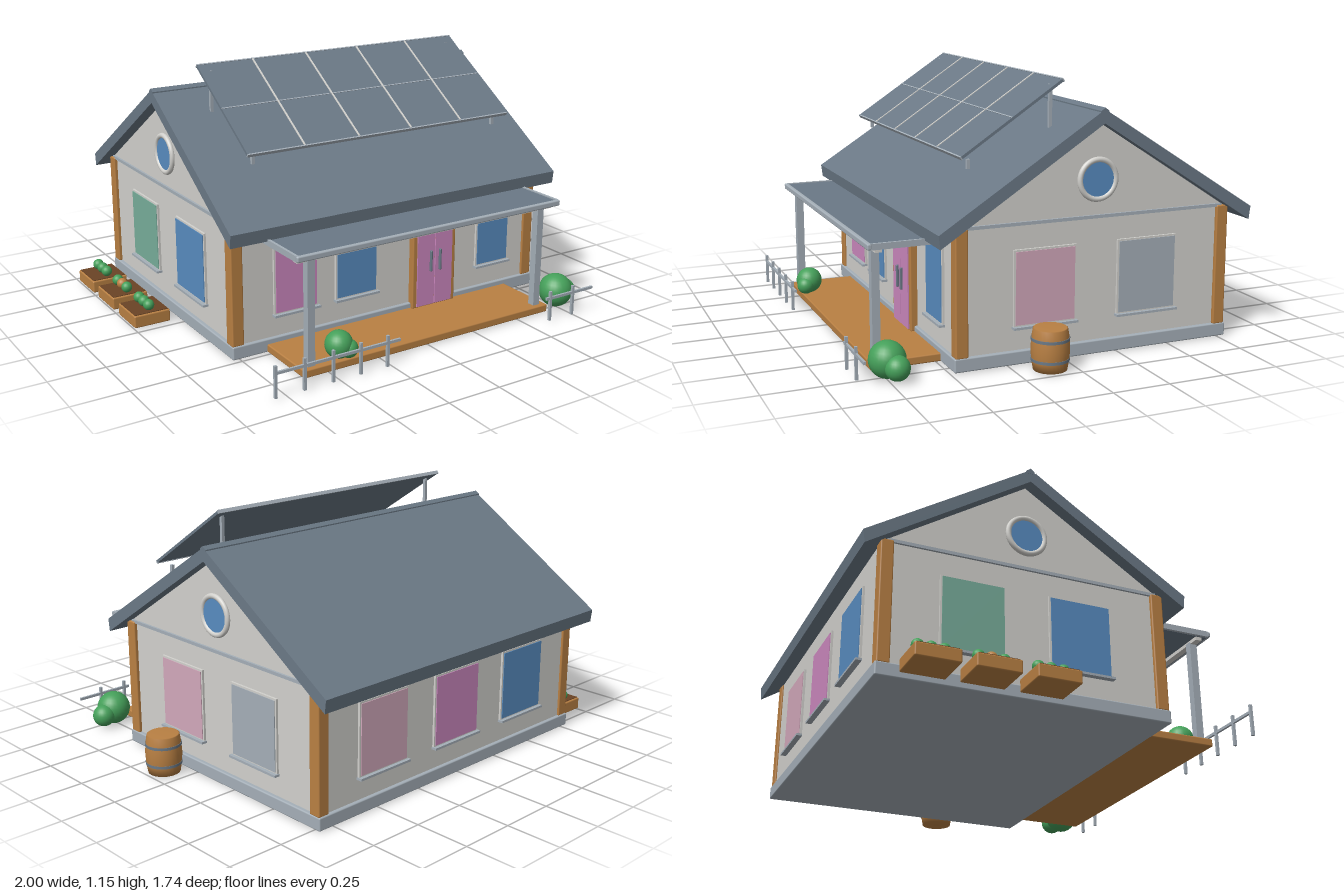
import * as THREE from 'three';
import { RoundedBoxGeometry } from 'three/addons/geometries/RoundedBoxGeometry.js';

const mat = (name, color) => Object.assign(new THREE.MeshStandardMaterial({ color }), { name });

export function createModel() {
  const M = {
    slate: mat('slate', 0x6b7986), wood: mat('wood', 0xb98043), wall: mat('wall', 0xd2d1cd),
    trim: mat('trim', 0xa5afb8), pink: mat('pink', 0xcc88bf), blue: mat('blue', 0x588cc0),
    palePink: mat('palePink', 0xd2a8bb), teal: mat('teal', 0x78ae9b),
    leaf: mat('leaf', 0x45a05a), soil: mat('soil', 0x6b4426),
  };
  const root = new THREE.Group();
  root.name = 'house';

  const add = (parent, name, geo, m, x = 0, y = 0, z = 0) => {
    const mesh = new THREE.Mesh(geo, m);
    mesh.name = name;
    mesh.position.set(x, y, z);
    parent.add(mesh);
    return mesh;
  };
  const box = (parent, name, m, w, h, d, x, y, z) =>
    add(parent, name, new THREE.BoxGeometry(w, h, d), m, x, y, z);
  const rbox = (parent, name, m, w, h, d, x, y, z, r = 0.006) =>
    add(parent, name, new RoundedBoxGeometry(w, h, d, 2, r), m, x, y, z);
  const group = (parent, name, x = 0, y = 0, z = 0) => {
    const g = new THREE.Group();
    g.name = name;
    g.position.set(x, y, z);
    parent.add(g);
    return g;
  };
  // Extrudes a (depth, height) outline along x, centred
  const alongX = (points, width) =>
    new THREE.ExtrudeGeometry(new THREE.Shape(points.map(p => new THREE.Vector2(...p))),
      { depth: width, bevelEnabled: false })
      .translate(0, 0, -width / 2).rotateY(Math.PI / 2);

  // Main body
  const body = group(root, 'body', 0.023, 0, -0.15);
  rbox(body, 'foundation', M.trim, 1.615, 0.058, 1.27, 0, 0.029, 0);
  add(body, 'walls', alongX([[-0.62, 0.05], [0.62, 0.05], [0.62, 0.58], [0, 0.977], [-0.62, 0.58]], 1.58), M.wall);
  for (const sx of [-1, 1]) {
    for (const sz of [-1, 1]) {
      rbox(body, 'cornerPost', M.wood, 0.055, 0.53, 0.055, sx * 0.778, 0.32, sz * 0.602);
    }
    box(body, 'gableBand', M.trim, 0.014, 0.014, 1.2, sx * 0.793, 0.585, 0);
    // Round gable window
    const round = group(body, 'roundWindow', sx * 0.79, 0.74, 0);
    round.rotation.y = sx * Math.PI / 2;
    add(round, 'roundFrame', new THREE.TorusGeometry(0.082, 0.012, 10, 40), M.wall, 0, 0, 0.006);
    add(round, 'roundGlass', new THREE.CylinderGeometry(0.074, 0.074, 0.009, 40).rotateX(Math.PI / 2), M.blue, 0, 0, 0.005);
  }

  // Roof
  add(body, 'roof', alongX([[0, 1.033], [-0.715, 0.58], [-0.708, 0.523], [0, 0.976],
    [0.708, 0.523], [0.715, 0.58]], 1.695), M.slate);
  add(body, 'ridgeCap', alongX([[0, 1.04], [-0.018, 1.027], [-0.018, 1.015], [0.018, 1.015], [0.018, 1.027]], 1.697), M.slate);

  // Windows: [pane, x, z, facing angle, glass width]
  const q = Math.PI / 2, right = 0.813, left = -0.767, front = 0.47, back = -0.77;
  const windows = [
    [M.pink, -0.475, front, 0, 0.2], [M.blue, -0.17, front, 0, 0.2], [M.blue, 0.585, front, 0, 0.175],
    [M.palePink, right, 0.085, q, 0.265], [M.trim, right, -0.387, q, 0.265],
    [M.blue, left, 0.085, -q, 0.265], [M.teal, left, -0.387, -q, 0.265],
    [M.palePink, 0.468, back, 2 * q, 0.265], [M.pink, 0.023, back, 2 * q, 0.265], [M.blue, -0.422, back, 2 * q, 0.265],
  ];
  for (const [pane, x, z, turn, w] of windows) {
    const g = group(root, 'window', x, 0.318, z);
    g.rotation.y = turn;
    box(g, 'windowFrame', M.wall, w + 0.016, 0.322, 0.012, 0, 0, 0.004);
    box(g, 'windowGlass', pane, w, 0.306, 0.005, 0, 0, 0.011);
    box(g, 'windowSill', M.trim, w + 0.026, 0.01, 0.028, 0, -0.164, 0.012);
  }

  // Double door
  const door = group(root, 'door', 0.235, 0.25, 0.47);
  rbox(door, 'doorFrame', M.wood, 0.235, 0.435, 0.05, 0, 0, 0.006);
  for (const s of [-1, 1]) {
    box(door, 'doorPanel', M.pink, 0.094, 0.405, 0.008, s * 0.049, -0.008, 0.032);
    rbox(door, 'doorHandle', M.slate, 0.01, 0.1, 0.014, s * 0.025, 0, 0.041, 0.004);
  }

  // Porch
  const porch = group(root, 'porch', 0.023);
  rbox(porch, 'deck', M.wood, 1.29, 0.035, 0.31, 0, 0.0175, 0.63);
  box(porch, 'porchRoof', M.slate, 1.33, 0.022, 0.32, 0, 0.516, 0.63);
  rbox(porch, 'porchGutter', M.trim, 1.357, 0.026, 0.02, 0, 0.518, 0.788);
  box(porch, 'porchBeam', M.wall, 1.32, 0.016, 0.03, 0, 0.497, 0.747);
  for (const s of [-1, 1]) {
    box(porch, 'porchPost', M.trim, 0.034, 0.465, 0.034, s * 0.597, 0.265, 0.747);
    box(porch, 'porchRoofEdge', M.trim, 0.012, 0.026, 0.31, s * 0.672, 0.518, 0.63);
  }

  // Solar array
  const solar = group(root, 'solarArray', 0.025, 0.992, 0.18);
  solar.rotation.x = 0.58;
  box(solar, 'solarPanel', M.slate, 1.36, 0.012, 0.535, 0, 0, 0);
  for (let i = -1.5; i < 2; i++) box(solar, 'panelDivider', M.wall, 0.008, 0.006, 0.53, i * 0.273, 0.006, 0);
  box(solar, 'panelSeam', M.trim, 1.36, 0.004, 0.005, 0, 0.006, 0);
  for (const s of [-1, 1]) box(solar, 'panelEdge', M.trim, 1.362, 0.016, 0.006, 0, 0, s * 0.268);
  for (const x of [-0.607, 0.657]) {
    box(root, 'rearSolarLeg', M.trim, 0.014, 0.19, 0.014, x, 1.025, -0.008);
    box(root, 'frontSolarLeg', M.trim, 0.014, 0.04, 0.014, x, 0.812, 0.357);
  }

  // Rain barrel
  const barrel = group(root, 'barrel', 0.92, 0, 0.108);
  const profile = [[0, 0], [0.07, 0], [0.077, 0.04], [0.08, 0.0875], [0.077, 0.135], [0.071, 0.172], [0.067, 0.175], [0, 0.175]];
  add(barrel, 'barrelBody', new THREE.LatheGeometry(profile.map(p => new THREE.Vector2(...p)), 28), M.wood);
  for (const y of [0.045, 0.13]) {
    add(barrel, 'barrelHoop', new THREE.CylinderGeometry(0.0795, 0.0795, 0.012, 28), M.slate, 0, y, 0);
  }

  // Raised beds
  [-0.612, -0.37, -0.123].forEach((z, bed) => {
    const g = group(root, 'raisedBed', -0.915, 0, z);
    rbox(g, 'bedBox', M.wood, 0.17, 0.056, 0.185, 0, 0.03, 0);
    box(g, 'bedSoil', M.soil, 0.158, 0.008, 0.168, 0, 0.057, 0);
    for (let i = -1; i <= 1; i++) {
      add(g, 'bedPlant', new THREE.SphereGeometry(0.025, 16, 12), bed === 1 && i === 0 ? M.wood : M.leaf, 0, 0.084, i * 0.053);
    }
  });

  // Bushes: [radius, x, y, z]
  for (const [r, x, y, z] of [[0.077, 0.755, 0.073, 0.742], [0.052, 0.823, 0.055, 0.722],
    [0.06, -0.432, 0.092, 0.745], [0.04, -0.4, 0.075, 0.77]]) {
    add(root, 'bush', new THREE.SphereGeometry(r, 24, 16), M.leaf, x, y, z);
  }

  // Front fences: [start, end, posts]
  for (const [a, b, posts] of [[-0.805, -0.21, [-0.8, -0.668, -0.535, -0.403, -0.272]], [0.585, 0.86, [0.61, 0.743]]]) {
    const fence = group(root, 'fence', 0, 0, 0.866);
    box(fence, 'fenceRail', M.trim, b - a, 0.012, 0.01, (a + b) / 2, 0.106, 0);
    for (const x of posts) box(fence, 'fencePost', M.trim, 0.012, 0.138, 0.012, x, 0.069, 0);
  }
  return root;
}
